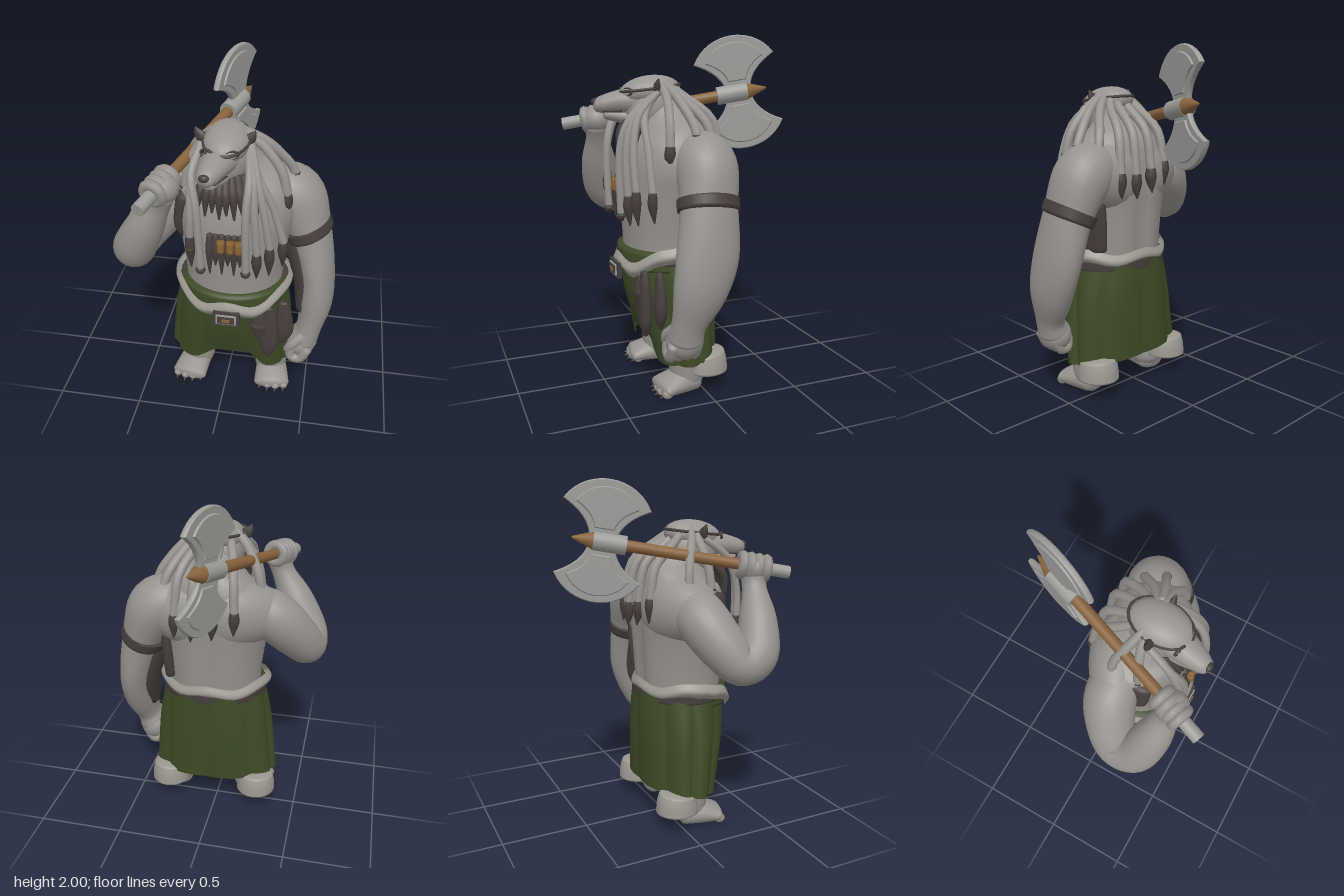
import * as THREE from 'three';

const mat = (name, color, side = THREE.FrontSide) => {
  const m = new THREE.MeshStandardMaterial({ color, side });
  m.name = name;
  return m;
};
const V = (x, y, z) => new THREE.Vector3(x, y, z);
const Z = V(0, 0, 1), Y = V(0, 1, 0);

// Smooth body swept through points [x, y, z, ra, rb]; rb lies along ref.
// cap: roundness of the ends, or null for open ends. warp(v, centre, angle, s) reshapes it.
function limbGeo(points, { ref = Z, cap = 0.6, warp, steps = 6, sides = 18 } = {}) {
  const path = new THREE.CatmullRomCurve3(points.map(p => V(p[0], p[1], p[2])), false, 'catmullrom');
  const size = new THREE.CatmullRomCurve3(points.map(p => V(p[3], p[4] ?? p[3], 0)), false, 'catmullrom');
  const n = (points.length - 1) * steps, rings = [];
  for (let i = 0; i <= n; i++) rings.push([i / n, 0, 1]);
  if (cap !== null) {
    for (const a of [0.5, 1, Math.PI / 2]) {
      rings.unshift([0, -Math.sin(a) * cap, Math.cos(a)]);
      rings.push([1, Math.sin(a) * cap, Math.cos(a)]);
    }
  }
  const pos = [], idx = [];
  rings.forEach(([s, shift, k], i) => {
    const c = path.getPoint(s), t = path.getTangent(s), r = size.getPoint(s);
    const n1 = ref.clone().cross(t).normalize(), n2 = t.clone().cross(n1);
    c.addScaledVector(t, shift * Math.min(r.x, r.y));
    for (let j = 0; j < sides; j++) {
      const a = j / sides * Math.PI * 2;
      const v = c.clone().addScaledVector(n1, Math.cos(a) * r.x * k).addScaledVector(n2, Math.sin(a) * r.y * k);
      if (warp) warp(v, c, a, s);
      pos.push(v.x, v.y, v.z);
      if (i) {
        const p = (i - 1) * sides + j, q = (i - 1) * sides + (j + 1) % sides;
        idx.push(p, q, p + sides, q, q + sides, p + sides);
      }
    }
  });
  const g = new THREE.BufferGeometry();
  g.setAttribute('position', new THREE.Float32BufferAttribute(pos, 3));
  g.setIndex(idx);
  g.computeVertexNormals();
  return g;
}

export function createModel() {
  const model = new THREE.Group();
  const skin = mat('greySkin', 0x96928d), hair = mat('paleHair', 0x98948f);
  const dark = mat('darkLeather', 0x463e3b, THREE.DoubleSide);
  const green = mat('greenCloth', 0x3d4a27, THREE.DoubleSide);
  const fur = mat('paleHide', 0x9b9790, THREE.DoubleSide);
  const wood = mat('brownWood', 0x87623c), amber = mat('amberBead', 0x8a6233), steel = mat('greySteel', 0x9a9a97);

  const add = (name, geo, m, parent = model) => {
    const mesh = new THREE.Mesh(geo, m);
    mesh.name = name;
    parent.add(mesh);
    return mesh;
  };
  const limb = (name, m, pts, opt) => add(name, limbGeo(pts, opt), m);
  const ball = (name, m, x, y, z, a, b = a, c = a, parent = model) => {
    const o = add(name, new THREE.SphereGeometry(1, 20, 14), m, parent);
    o.position.set(x, y, z);
    o.scale.set(a, b, c);
    return o;
  };
  const small = { steps: 4, sides: 8 };
  const spine = v => { if (v.z < 0) v.z += .03 * Math.exp(-(((v.x - .04) / .05) ** 2)); };

  // Torso and broad upper back, with a groove down the spine
  limb('torso', skin, [[.04, .72, .12, .28, .24], [.04, .9, .12, .285, .25], [.04, 1.1, .12, .31, .26],
    [.04, 1.28, .11, .34, .26], [.04, 1.43, .1, .3, .23], [.03, 1.53, .12, .17, .17], [.02, 1.6, .14, .11, .12]],
  { sides: 40, warp: spine });
  limb('upperBack', skin, [[-.34, 1.25, .14, .1, .11], [-.23, 1.28, .07, .14, .17], [-.09, 1.29, .02, .165, .21], [.05, 1.29, .0, .15, .22],
    [.22, 1.29, .0, .155, .2], [.36, 1.3, .01, .14, .14]], { ref: Y, sides: 28, steps: 10, warp: spine });
  limb('sideHarness', dark, [[.3, 1.24, .05, .05, .13], [.29, 1.05, .05, .05, .14], [.28, .88, .05, .045, .13]]);
  limb('rightHarness', dark, [[-.22, 1.36, .2, .05, .09], [-.25, 1.2, .2, .04, .08], [-.24, 1.12, .19, .03, .06]]);

  // Hanging left arm
  limb('leftArm', skin, [[.22, 1.37, .03, .12, .14], [.36, 1.3, .01, .165, .17], [.455, 1.1, .03, .125, .16],
    [.515, .85, .06, .105, .175], [.525, .65, .11, .1, .15], [.5, .48, .16, .075, .1], [.47, .39, .17, .09, .1]], { sides: 28 });
  limb('innerArmGuard', dark, [[.41, 1.04, .05, .1, .11], [.455, .8, .08, .075, .12], [.47, .6, .13, .06, .08]]);
  limb('armband', dark, [[.435, 1.13, .027, .145, .172], [.46, 1.075, .033, .141, .172]], { cap: .15, sides: 28 });
  ball('leftFist', skin, .46, .37, .17, .09, .1, .105);
  for (let i = 0; i < 4; i++) {
    const z = .25 - i * .045;
    limb('leftFinger', skin, [[.5, .36, z, .032], [.46, .29, z, .032], [.405, .3, z, .03], [.4, .36, z, .026]], small);
  }
  limb('leftThumb', skin, [[.47, .45, .23, .035], [.41, .4, .255, .03], [.38, .35, .25, .024]], small);

  // Raised right arm
  limb('rightArm', skin, [[-.16, 1.33, .1, .12], [-.31, 1.26, .09, .145], [-.43, 1.13, .15, .135], [-.5, 1.03, .23, .115],
    [-.485, 1.08, .34, .12], [-.4, 1.25, .395, .105], [-.32, 1.4, .42, .07], [-.29, 1.48, .43, .075]],
  { ref: V(-.87, .48, -.28), sides: 24 });
  ball('rightFist', skin, -.285, 1.515, .43, .09, .08, .09);

  // Axe: local y runs along the shaft, local x along the blades
  const axe = new THREE.Group();
  axe.name = 'axe';
  const butt = V(-.36, 1.49, .62), d = V(.39, .21, -1.14).normalize();
  const ax = Y.clone().addScaledVector(d, -d.y).normalize();
  axe.applyMatrix4(new THREE.Matrix4().makeBasis(ax, d, ax.clone().cross(d)));
  axe.position.copy(butt);
  model.add(axe);
  const rod = (name, m, r1, r2, y0, y1) => {
    add(name, new THREE.CylinderGeometry(r2, r1, y1 - y0, 20), m, axe).position.y = (y0 + y1) / 2;
  };
  rod('pommel', steel, .036, .036, 0, .12);
  rod('shaft', wood, .03, .033, .12, 1.12);
  rod('socket', steel, .053, .053, .93, 1.11);
  rod('shaftTip', wood, .05, .006, 1.11, 1.225);
  const bladeShape = (k) => {
    const s = new THREE.Shape(), x = v => .19 + (v - .19) * k;
    s.moveTo(x(.03), -.07 * k);
    s.quadraticCurveTo(x(.13), -.09 * k, x(.2), -.23 * k);
    s.bezierCurveTo(x(.37), -.13 * k, x(.37), .13 * k, x(.2), .23 * k);
    s.quadraticCurveTo(x(.13), .09 * k, x(.03), .07 * k);
    return s;
  };
  for (const turn of [0, Math.PI]) {
    const blade = new THREE.Group();
    blade.name = 'axeBlade';
    blade.position.y = 1.06;
    blade.rotation.z = turn;
    axe.add(blade);
    for (const [k, h] of [[1, .012], [.72, .03]]) {
      const g = new THREE.ExtrudeGeometry(bladeShape(k), { depth: h, bevelThickness: .01, bevelSize: .006, bevelSegments: 1, curveSegments: 16 });
      add(k === 1 ? 'bladeEdge' : 'bladeCore', g.translate(0, 0, -h / 2), steel, blade);
    }
  }
  for (let i = 0; i < 4; i++) {
    const f = add('rightFinger', new THREE.TorusGeometry(.052, .029, 8, 18), skin, axe);
    f.rotation.x = Math.PI / 2;
    f.position.y = .14 + i * .045;
  }

  // Head, muzzle and face
  ball('skull', skin, .01, 1.6, .19, .125, .155, .165);
  ball('skullCap', hair, .01, 1.69, .2, .122, .085, .175).rotation.x = .12;
  const rim = add('capRim', new THREE.TorusGeometry(1, .06, 8, 40), dark);
  rim.position.set(.01, 1.705, .2);
  rim.rotation.x = Math.PI / 2 + .12;
  rim.scale.set(.12, .172, .14);
  limb('muzzle', skin, [[0, 1.635, .27, .1, .085], [-.025, 1.63, .37, .08, .065], [-.045, 1.615, .46, .058, .05], [-.05, 1.61, .49, .045, .038]], { ref: Y });
  limb('jaw', skin, [[0, 1.53, .24, .08, .06], [-.03, 1.55, .36, .06, .04], [-.045, 1.56, .44, .04, .028]], { ref: Y });
  limb('mouth', dark, [[-.02, 1.58, .36, .067, .01], [-.045, 1.58, .46, .048, .008]], { ref: Y });
  ball('nose', dark, -.052, 1.63, .503, .028, .02, .02);
  for (const s of [-1, 1]) {
    const eye = add('eyeRing', new THREE.TorusGeometry(.034, .008, 8, 18), dark);
    eye.position.set(s * .062 - .005, 1.685, .345);
    eye.rotation.y = s * .35;
    eye.scale.y = .6;
    ball('eye', dark, s * .062 - .005, 1.685, .341, .016, .01, .01);
    limb('ear', dark, [[s * .1, 1.68, .2, .04, .025], [s * .135, 1.72, .2, .028, .018], [s * .155, 1.755, .2, .004]], small);
  }

  // Hair locks, each with a dark pointed tip
  const lock = (pts, r, tip) => {
    const e = pts[pts.length - 1];
    limb('hairLock', hair, pts.map((p, i) => [...p, r * (i ? 1 : .8)]), small);
    limb('lockTip', dark, [[...e, r * 1.1], [e[0], e[1] - tip * .4, e[2], r * 1.25], [e[0], e[1] - tip, e[2] - .01, .004]], small);
  };
  for (const [x0, x, z, y, tip] of [[-.12, -.155, .41, 1.22, .2], [-.125, -.1, .42, 1.03, .04], [.12, .145, .42, 1.03, .04],
    [.13, .2, .395, 1.13, .16], [.14, .265, .37, 1.16, .18], [.13, .33, .3, 1.16, .16]])
    lock([[x0, 1.68, .2], [x0 * 1.12 + x * .1, 1.56, z * .5 + .14], [x0 * .4 + x * .65, 1.38, z], [x, y, z]], .022, tip);
  for (const [x, y, z] of [[0, 1.32, -.15], [.12, 1.3, -.155], [.22, 1.31, -.14], [.3, 1.44, -.05], [.36, 1.46, .06],
    [.33, 1.4, .2], [-.12, 1.35, -.13], [-.24, 1.4, .05], [-.22, 1.4, .2]])
    lock([[x * .3, 1.73, .14 + z * .15], [x * .62, 1.65, .09 + z * .4], [x * .9, 1.53, .02 + z * .85], [x, y, z]], .026, .13);

  // Beard, claw necklace and beads
  for (let i = 0; i < 9; i++) {
    const x = -.11 + i * .036, y = 1.36 - .03 * (i % 2), z = .395 - Math.abs(x - .03) * .3;
    limb('beardStrand', dark, [[x * .8, 1.54, z - .07, .024], [x, 1.46, z - .01, .024], [x * 1.1, y, z, .006]], small);
  }
  for (let i = 0; i < 6; i++) {
    const x = -.055 + i * .033, y = .98 + .06 * (i % 2);
    limb('necklaceClaw', dark, [[x, 1.22, .375, .018], [x, 1.12, .395, .021], [x, y, .395, .004]], small);
  }
  for (const x of [-.155, .01, .06, .105])
    limb('bead', amber, [[x, 1.21, .412, .021], [x, 1.15, .418, .021]], small);

  // Skirt: deep folds, flaring, with its hem lifted at the front
  limb('skirt', green, [[.04, .8, .12, .305, .26], [.035, .55, .105, .35, .255], [.025, .2, .07, .385, .215]], {
    cap: null, sides: 144, steps: 10,
    warp: (v, c, a, s) => {
      const fold = Math.abs(Math.sin(4.5 * a + .6 + .5 * Math.sin(2 * a)));
      v.sub(c).multiplyScalar(1 + Math.min(.08, .02 + .12 * s) * (fold ** .7 - .75)).add(c);
      if (v.z > c.z) v.y += .14 * s * s * Math.exp(-(((v.x - .04) / .17) ** 4));
    },
  });
  add('loincloth', new THREE.BoxGeometry(.22, .14, .02), dark).position.set(.05, .31, .2);
  limb('belt', dark, [[.04, .755, .12, .318, .262], [.04, .81, .12, .318, .262]], { cap: .1, sides: 40 });
  limb('waistcloth', green, [[.04, .72, .17, .3, .235], [.04, .82, .17, .295, .228]], { cap: .05, sides: 40 });
  limb('hideSash', fur, [[.04, .75, .14, .32, .262], [.04, .79, .14, .345, .285], [.04, .835, .14, .32, .268]], {
    cap: null, sides: 64,
    warp: (v, c, a) => {
      const f = Math.max(0, Math.sin(a)), side = Math.cos(a) ** 8;
      v.y += .02 - .085 * f + .03 * side - .012 * Math.cos(6 * a) * (1 + f);
    },
  });
  // Buckle and hanging pouches
  for (const [name, w, h, z, m] of [['buckleFrame', .15, .09, .425, dark], ['buckleRing', .115, .062, .433, steel],
    ['buckleInset', .095, .046, .438, dark], ['buckleCentre', .045, .02, .443, wood]])
    add(name, new THREE.BoxGeometry(w, h, .025), m).position.set(.04, .695, z);
  for (const [x, y, z] of [[.215, .5, .34], [.275, .36, .33], [.355, .42, .27]])
    limb('hangingPouch', dark, [[x - .01, .72, z, .03, .02], [x, .62, z, .048, .03], [x, y + .09, z, .056, .035], [x, y, z, .014]],
      { steps: 5, sides: 12 });

  // Legs, feet, claws and hide cuffs
  for (const [name, x, tx, cx] of [['right', -.2, -.235, -.255], ['left', .27, .295, .3]]) {
    limb(name + 'Leg', skin, [[x * .9, .42, .1, .1], [x, .25, .09, .105], [x, .08, .08, .1]]);
    limb(name + 'Foot', skin, [[x, .06, .05, .09, .07], [(x + tx) / 2, .06, .14, .1, .07], [tx, .045, .245, .11, .045]],
      { ref: Y, warp: v => { v.y = Math.max(v.y, .003); } });
    for (let i = 0; i < 4; i++) {
      const px = tx + (i - 1.5) * .05, pz = .255 - Math.abs(i - 1.5) * .014;
      ball(name + 'Toe', skin, px, .03, pz, .027, .027, .032);
      const claw = add(name + 'Claw', new THREE.ConeGeometry(.016, .04, 8), dark);
      claw.position.set(px, .02, pz + .033);
      claw.rotation.x = Math.PI / 2 + .3;
    }
    limb(name + 'Cuff', fur, [[cx, .22, -.02, .105, .11], [cx, .17, -.025, .115, .12], [cx, .115, -.025, .12, .125]], { cap: .15, sides: 28 });
  }
  return model;
}
